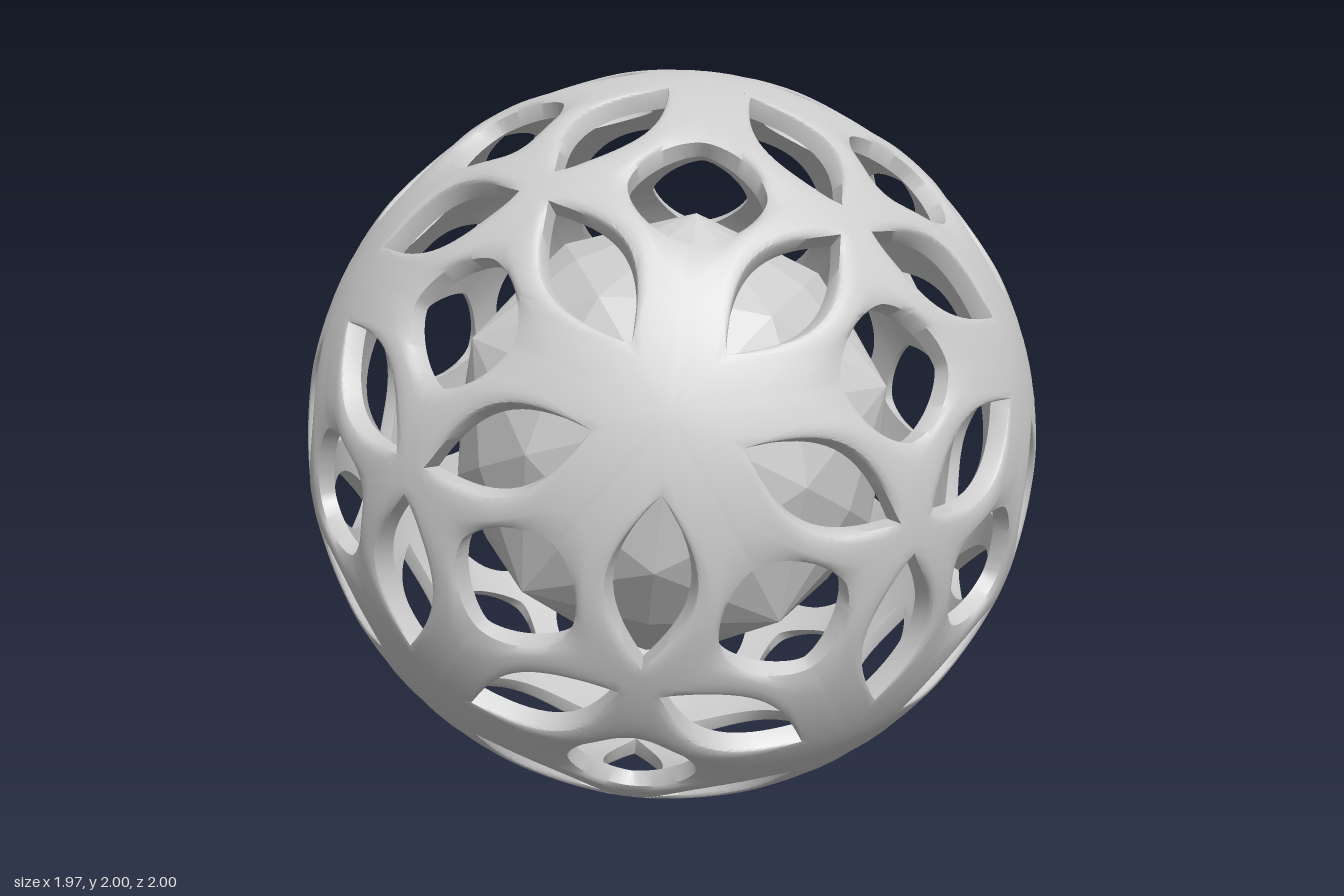
import * as THREE from 'three';
import { toCreasedNormals } from 'three/addons/utils/BufferGeometryUtils.js';

const DEG = Math.PI / 180;
// Corners of one mirror cell of icosahedral symmetry: three-, five- and two-fold axes
const T = new THREE.Vector3(0, 0, 1);
const P = new THREE.Vector3(0, -Math.sin(37.3774 * DEG), Math.cos(37.3774 * DEG));
const tilt = 20.9052 * DEG;
const D = new THREE.Vector3(
  Math.sin(tilt) * Math.cos(30 * DEG), -Math.sin(tilt) * 0.5, Math.cos(tilt));

// All 120 symmetries, grown from the reflections in the cell's three sides
function symmetries() {
  const mirrors = [[T, P], [P, D], [D, T]].map(([a, b]) => {
    const n = a.clone().cross(b).normalize();
    return new THREE.Matrix4().set(
      1 - 2 * n.x * n.x, -2 * n.x * n.y, -2 * n.x * n.z, 0,
      -2 * n.x * n.y, 1 - 2 * n.y * n.y, -2 * n.y * n.z, 0,
      -2 * n.x * n.z, -2 * n.y * n.z, 1 - 2 * n.z * n.z, 0,
      0, 0, 0, 1);
  });
  const probe = T.clone().add(P).addScaledVector(D, 1.7);
  const key = m => probe.clone().applyMatrix4(m).toArray().map(c => Math.round(c * 1000) + 0).join();
  const list = [new THREE.Matrix4()];
  const seen = new Set([key(list[0])]);
  for (let i = 0; i < list.length && list.length < 120; i++) {
    for (const mirror of mirrors) {
      const m = list[i].clone().multiply(mirror);
      if (!seen.has(key(m))) {
        seen.add(key(m));
        list.push(m);
      }
    }
  }
  return list;
}

// Repeats the triangles of one cell over the whole ball
function repeat(triangles, group) {
  const out = [];
  for (const m of group) {
    const flip = m.determinant() < 0;
    for (const [a, b, c] of triangles) {
      for (const p of flip ? [a, c, b] : [a, b, c]) {
        const q = p.clone().applyMatrix4(m);
        out.push(q.x, q.y + 1, q.z);
      }
    }
  }
  const geometry = new THREE.BufferGeometry();
  geometry.setAttribute('position', new THREE.Float32BufferAttribute(out, 3));
  geometry.computeVertexNormals();
  return geometry;
}

// One cell of the shell, lofted from the square hole at D to the lens hole on side TP
function shellCell() {
  const before = 2, lens = 18, after = 5, columns = before + lens + after;
  const lensStart = 3 * DEG, lensEnd = 27.5 * DEG, end = 37.3774 * DEG;
  const e1 = T.clone().addScaledVector(D, -T.dot(D)).normalize();
  const e2 = P.clone().addScaledVector(D, -P.dot(D)).normalize();
  // Closed cross-section: position between holes, radius, lowering at each rim,
  // and how angular the hole outlines are (round outside, straighter inside)
  const section = [
    [0, 1, 0.012, 0, 0], [0.1, 1, 0.004, 0, 0], [0.25, 1, 0.001, 0, 0], [0.5, 1, 0, 0, 0],
    [0.75, 1, 0, 0.001, 0], [0.92, 1, 0, 0.005, 0], [1, 1, 0, 0.014, 0],
    [1, 0.95, 0, 0, 1], [0.5, 0.95, 0, 0, 1], [0, 0.95, 0, 0, 1],
  ];
  const grid = [];
  for (let i = 0; i <= columns; i++) {
    const u = THREE.MathUtils.clamp((i - before) / lens, 0, 1);
    const bulge = Math.max(0, Math.sin(Math.PI * u));
    let a = lensStart + (lensEnd - lensStart) * u;
    if (i < before) a = lensStart * i / before;
    if (i > before + lens) a = lensEnd + (end - lensEnd) * (i - before - lens) / after;
    const t = Math.PI / 2 * i / columns;
    const c = Math.max(0, Math.cos(t)), s = Math.sin(t);
    const w = u > 0 && u < 1 ? Math.sqrt(bulge) : 0;
    grid.push(section.map(([v, r, drop0, drop1, angular]) => {
      // Leaf outline
      const b = w > 0 ? (0.098 - 0.008 * angular) * bulge : 0;
      const lensPoint = new THREE.Vector3(
        Math.sin(b), -Math.sin(a) * Math.cos(b), Math.cos(a) * Math.cos(b));
      // Rounded diamond
      const power = THREE.MathUtils.lerp(1.65, 1.4, angular);
      const rho = 0.163 / Math.pow(c ** power + s ** power, 1 / power);
      const holePoint = D.clone().addScaledVector(e1, rho * c).addScaledVector(e2, rho * s).normalize();
      return holePoint.lerp(lensPoint, v).setLength(r - drop0 - drop1 * w);
    }));
  }
  const triangles = [];
  for (let i = 0; i < columns; i++) {
    for (let j = 0; j < section.length; j++) {
      // The lens wall exists only along the lens
      if (j === 6 && (i < before || i >= before + lens)) continue;
      const k = (j + 1) % section.length;
      const A = grid[i][j], B = grid[i][k], C = grid[i + 1][k], E = grid[i + 1][j];
      triangles.push([A, B, C], [A, C, E]);
    }
  }
  return triangles;
}

export function createModel() {
  const model = new THREE.Group();
  const grey = new THREE.MeshStandardMaterial({ color: 0xcccccc });
  grey.name = 'grey';
  const group = symmetries();

  // Pierced outer shell
  const shell = new THREE.Mesh(toCreasedNormals(repeat(shellCell(), group), 0.7), grey);
  shell.name = 'piercedShell';
  model.add(shell);

  // Faceted inner core
  const facet = [[
    T.clone().multiplyScalar(0.61),
    P.clone().multiplyScalar(0.645),
    D.clone().multiplyScalar(0.6),
  ]];
  const core = new THREE.Mesh(repeat(facet, group), grey);
  core.name = 'facetedCore';
  model.add(core);
  return model;
}
